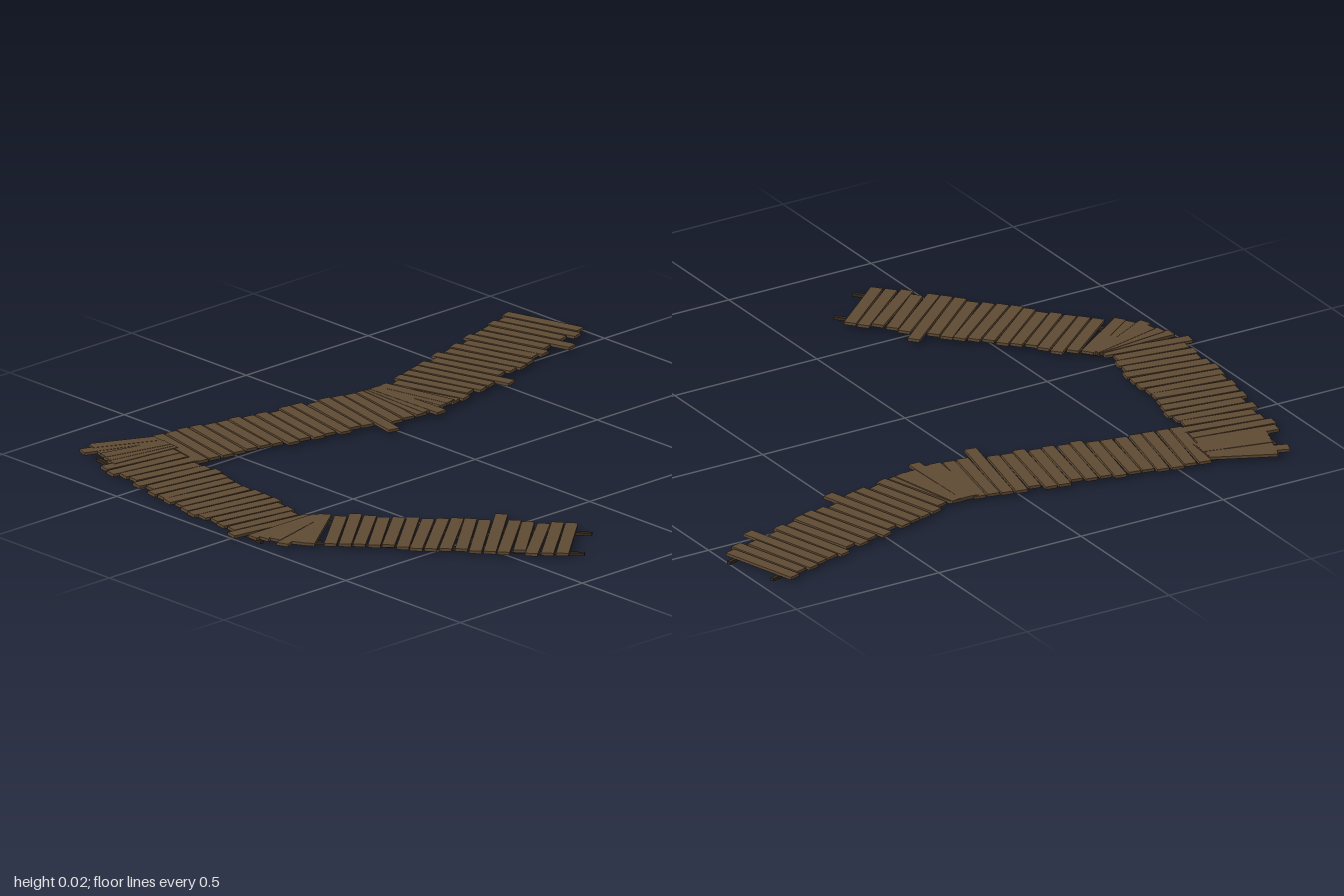
import * as THREE from 'three';

const RAIL_H = 0.009, DECK_H = 0.009, PLANK_W = 0.038;

export function createModel() {
  const model = new THREE.Group();
  model.name = 'boardwalk';

  const plankWood = new THREE.MeshStandardMaterial({ color: 0x5f4a33 });
  plankWood.name = 'plank brown';
  const railWood = new THREE.MeshStandardMaterial({ color: 0x352a1e });
  railWood.name = 'dark beam brown';

  let seed = 11;
  const rand = () => (seed = (seed * 16807) % 2147483647) / 2147483647;

  // Board lying between two ground points (x, z), with its underside at y
  function board(parent, name, a, b, width, height, y, material) {
    const dx = b[0] - a[0], dz = b[1] - a[1];
    const mesh = new THREE.Mesh(new THREE.BoxGeometry(Math.hypot(dx, dz), height, width), material);
    mesh.position.set((a[0] + b[0]) / 2, y + height / 2, (a[1] + b[1]) / 2);
    mesh.rotation.y = -Math.atan2(dz, dx);
    mesh.name = name;
    parent.add(mesh);
  }

  // Straight runs: first and last plank centres, rail overshoot at both ends,
  // and protruding planks as [index, side, reach]
  const runs = [
    { name: 'frontRun', from: [-0.75, 0.19], to: [-0.305, 0.725], over: [0.1, 0.065], long: [[11, -1, 0.19]] },
    { name: 'leftRun', from: [-0.865, 0.03], to: [-0.76, -0.65], over: [0.08, 0.1], long: [[0, -1, 0.145]] },
    { name: 'backRun', from: [-0.605, -0.645], to: [0.1, -0.5], over: [0.13, 0.08], long: [[14, 1, 0.2]] },
    { name: 'endRun', from: [0.24, -0.49], to: [0.935, -0.69], over: [0.08, 0.045], long: [[5, 1, 0.18], [13, 1, 0.176]] },
  ];
  const COUNT = 17;
  for (const run of runs) {
    const group = new THREE.Group();
    group.name = run.name;
    model.add(group);
    const [x0, z0] = run.from, [x1, z1] = run.to;
    const len = Math.hypot(x1 - x0, z1 - z0);
    const d = [(x1 - x0) / len, (z1 - z0) / len];
    // point at a distance along and across the run
    const at = (s, t) => [x0 + d[0] * s - d[1] * t, z0 + d[1] * s + d[0] * t];

    for (const t of [-0.088, 0.088]) {
      board(group, 'rail', at(-run.over[0], t), at(len + run.over[1], t), 0.012, RAIL_H, 0, railWood);
    }
    for (let i = 0; i < COUNT; i++) {
      let lo = 0.115 + rand() * 0.028, hi = 0.115 + rand() * 0.028;
      for (const [index, side, reach] of run.long) {
        if (index === i && side > 0) hi = reach;
        if (index === i && side < 0) lo = reach;
      }
      const s = (len * i) / (COUNT - 1);
      const skew = (rand() - 0.5) * 0.005;
      board(group, 'plank', at(s - skew, -lo), at(s + skew, hi), PLANK_W, DECK_H,
        RAIL_H + rand() * 0.001, plankWood);
    }
  }

  // Bends: planks fanned from a first line to a last line, one of them longer
  const bends = [
    { name: 'frontBend', first: [[-0.98, 0.07], [-0.725, 0.07]], last: [[-0.9, 0.23], [-0.69, 0.08]], long: 3, stretch: 0.1 },
    { name: 'cornerBend', first: [[-0.845, -0.69], [-0.61, -0.665]], last: [[-0.795, -0.83], [-0.608, -0.742]], long: 4, stretch: 0.2 },
    { name: 'middleBend', first: [[0.12, -0.36], [0.145, -0.62]], last: [[0.252, -0.375], [0.2, -0.62]], long: 2, stretch: 0.14 },
  ];
  const mix = (a, b, t) => [a[0] + (b[0] - a[0]) * t, a[1] + (b[1] - a[1]) * t];
  for (const bend of bends) {
    const group = new THREE.Group();
    group.name = bend.name;
    model.add(group);
    for (let i = 0; i < 6; i++) {
      let a = mix(bend.first[0], bend.last[0], i / 5);
      const b = mix(bend.first[1], bend.last[1], i / 5);
      if (i === bend.long) a = mix(a, b, -bend.stretch);
      board(group, 'bendPlank', a, b, PLANK_W, DECK_H, RAIL_H + 0.002 + (i % 3) * 0.0008, plankWood);
    }
  }
  return model;
}
